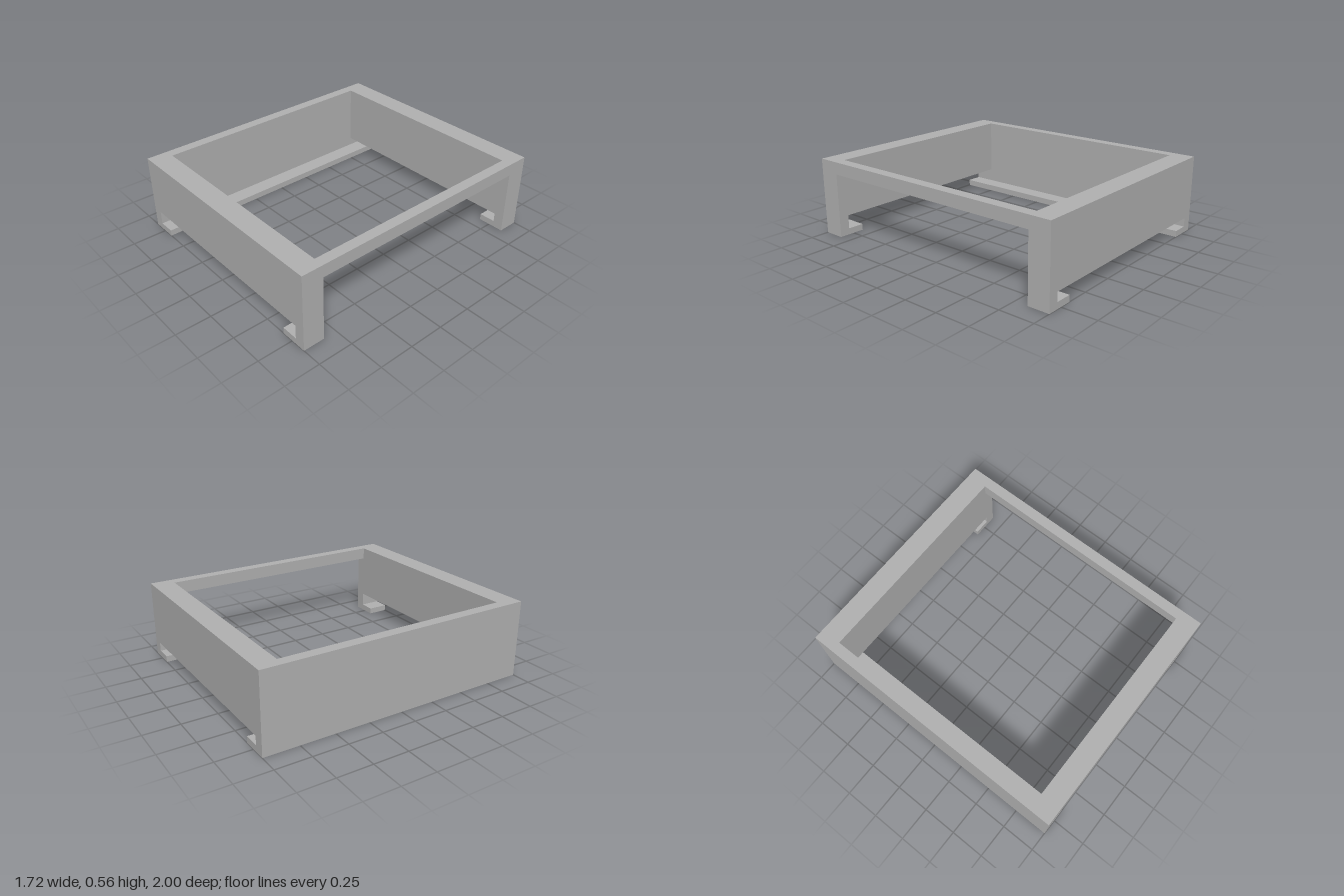
import * as THREE from 'three';

const W = 0.86, IN = 0.785, LIP = 0.665; // outer half width, inner half width, lip end
const H = 0.555, LIP_H = 0.045;          // overall height, lip thickness
const D = 1, D_IN = 0.847;               // outer and inner half depth
const OPEN_H = 0.467;                    // top of the side opening

export function createModel() {
  const model = new THREE.Group();
  model.name = 'openFrame';
  const grey = new THREE.MeshStandardMaterial({ color: 0xb2b2b2 });
  grey.name = 'grey';

  // Extrudes an x/y outline from z0 to z1
  const addProfile = (name, points, z0, z1) => {
    const shape = new THREE.Shape(points.map(([x, y]) => new THREE.Vector2(x, y)));
    const geometry = new THREE.ExtrudeGeometry(shape, { depth: z1 - z0, bevelEnabled: false });
    geometry.translate(0, 0, z0);
    const mesh = new THREE.Mesh(geometry, grey);
    mesh.name = name;
    model.add(mesh);
  };

  // End panel with a slot along its lower edge and a hooked foot at each side
  const endPanel = (slotTop) => {
    const half = [[W, H], [W, 0], [LIP, 0], [LIP, LIP_H], [IN, LIP_H], [IN, slotTop]];
    const mirrored = half.map(([x, y]) => [-x, y]).reverse();
    return [...half, ...mirrored];
  };
  addProfile('frontPanel', endPanel(0.145), D_IN, D);
  addProfile('backPanel', endPanel(0.11), -D, -D_IN);

  // Solid side wall with a full-length lip
  addProfile('rightWall', [
    [-W, 0], [-LIP, 0], [-LIP, LIP_H], [-IN, LIP_H], [-IN, H], [-W, H],
  ], -D_IN, D_IN);

  // Thin rail above the open side
  addProfile('leftRail', [[IN, OPEN_H], [W, OPEN_H], [W, H], [IN, H]], -D_IN, D_IN);

  return model;
}
